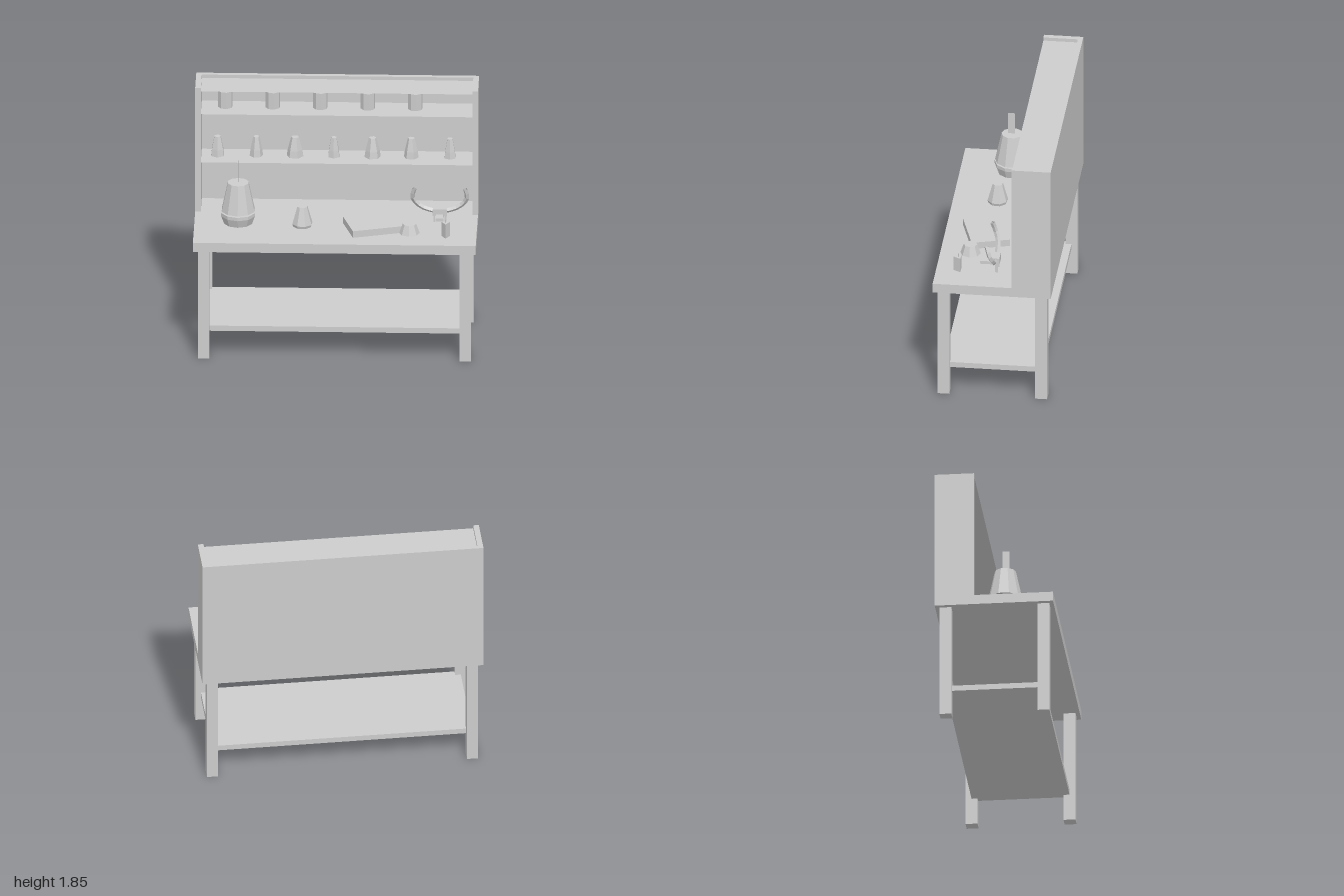
import * as THREE from 'three';

export function createModel() {
  const model = new THREE.Group();
  const grey = new THREE.MeshStandardMaterial({ color: 0xcccccc, flatShading: true, side: THREE.DoubleSide });
  grey.name = 'plain grey';

  const add = (name, geometry, x = 0, y = 0, z = 0, parent = model) => {
    const mesh = new THREE.Mesh(geometry, grey);
    mesh.name = name;
    mesh.position.set(x, y, z);
    parent.add(mesh);
    return mesh;
  };
  // Box given by its minimum and maximum corners
  const box = (name, x0, x1, y0, y1, z0, z1, parent = model) =>
    add(name, new THREE.BoxGeometry(x1 - x0, y1 - y0, z1 - z0),
      (x0 + x1) / 2, (y0 + y1) / 2, (z0 + z1) / 2, parent);
  // Faceted vessel from [radius, height] pairs
  const vessel = (name, profile, sides, x, y, z, turn = 0) => {
    const points = profile.map(([r, h]) => new THREE.Vector2(r, h));
    const mesh = add(name, new THREE.LatheGeometry(points, sides), x, y, z);
    mesh.rotation.y = turn;
    return mesh;
  };

  // Table
  box('tableTop', -1, 1, 0.83, 0.9, -0.42, 0.42);
  for (const sx of [-1, 1]) {
    for (const sz of [-1, 1]) {
      add('leg', new THREE.BoxGeometry(0.08, 0.83, 0.085), sx * 0.925, 0.415, sz * 0.348);
    }
  }
  box('lowerShelf', -0.925, 0.925, 0.195, 0.235, -0.348, 0.348);

  // Shelf case with thin boards
  box('backPanel', -1, 1, 0.9, 1.85, -0.42, -0.385);
  for (const s of [-1, 1]) {
    add('sidePanel', new THREE.BoxGeometry(0.04, 0.95, 0.28), s * 0.98, 1.375, -0.28);
  }
  for (const y of [1.28, 1.65, 1.825]) {
    const board = add('shelfBoard', new THREE.PlaneGeometry(1.92, 0.245), 0, y, -0.2625);
    board.rotation.x = -Math.PI / 2;
  }

  // Straight jars on the upper shelf
  for (let i = 0; i < 5; i++) {
    vessel('jar', [[0, 0], [0.052, 0], [0.052, 0.125], [0, 0.125]], 8, -0.79 + i * 0.336, 1.66, -0.265, 0.2);
  }

  // Tapered bottles on the middle shelf
  const radii = [0.052, 0.048, 0.06, 0.045, 0.058, 0.053, 0.044];
  radii.forEach((r, i) => {
    vessel('bottle', [[0, 0], [r, 0], [r * 0.87, 0.05], [r * 0.46, 0.145], [0, 0.145]],
      6, -0.845 + i * 0.274, 1.287, -0.265, i * 0.7);
  });

  // Large two-part vessel with a flat spout strip
  vessel('vesselBase', [[0, 0], [0.103, 0], [0.125, 0.06], [0.125, 0.085], [0, 0.085]], 10, -0.69, 0.905, 0.05);
  vessel('vesselDome', [[0, 0], [0.122, 0], [0.076, 0.212], [0, 0.212]], 10, -0.69, 1.0, 0.05);
  const strip = add('vesselSpout', new THREE.PlaneGeometry(0.05, 0.165), -0.69, 1.292, 0.055);
  strip.rotation.y = Math.PI / 2;

  // Items on the table
  vessel('flask', [[0, 0], [0.067, 0], [0.074, 0.02], [0.037, 0.15], [0, 0.15]], 8, -0.235, 0.905, 0.1, 0.3);
  vessel('cup', [[0, 0], [0.073, 0], [0.048, 0.07], [0, 0.07]], 8, 0.525, 0.905, 0.205);
  const book = add('book', new THREE.BoxGeometry(0.355, 0.05, 0.275), 0.26, 0.928, 0.122);
  book.rotation.y = 0.286;
  vessel('candle', [[0, 0], [0.036, 0], [0.036, 0.108], [0, 0.108]], 3, 0.783, 0.902, 0.262);
  add('wick', new THREE.CylinderGeometry(0.003, 0.003, 0.026, 4), 0.783, 1.023, 0.262);

  // Horned stand
  const stand = new THREE.Group();
  stand.name = 'hornedStand';
  stand.position.x = 0.735;
  model.add(stand);
  box('standHead', -0.05, 0.05, 0.962, 1.012, -0.03, 0.035, stand);
  box('standSnout', -0.028, 0.028, 0.952, 0.975, 0.03, 0.11, stand);
  for (const s of [-1, 1]) {
    add('standFoot', new THREE.BoxGeometry(0.012, 0.065, 0.02), s * 0.04, 0.932, -0.01, stand);
    const path = [[0.04, 0.99, 0], [0.11, 1.01, 0], [0.165, 1.05, 0.005], [0.193, 1.105, 0.025], [0.18, 1.175, 0.045]]
      .map(([x, y, z]) => new THREE.Vector3(s * x, y, z));
    add('horn', new THREE.TubeGeometry(new THREE.CatmullRomCurve3(path), 7, 0.017, 4), 0, 0, 0, stand);
  }

  return model;
}
